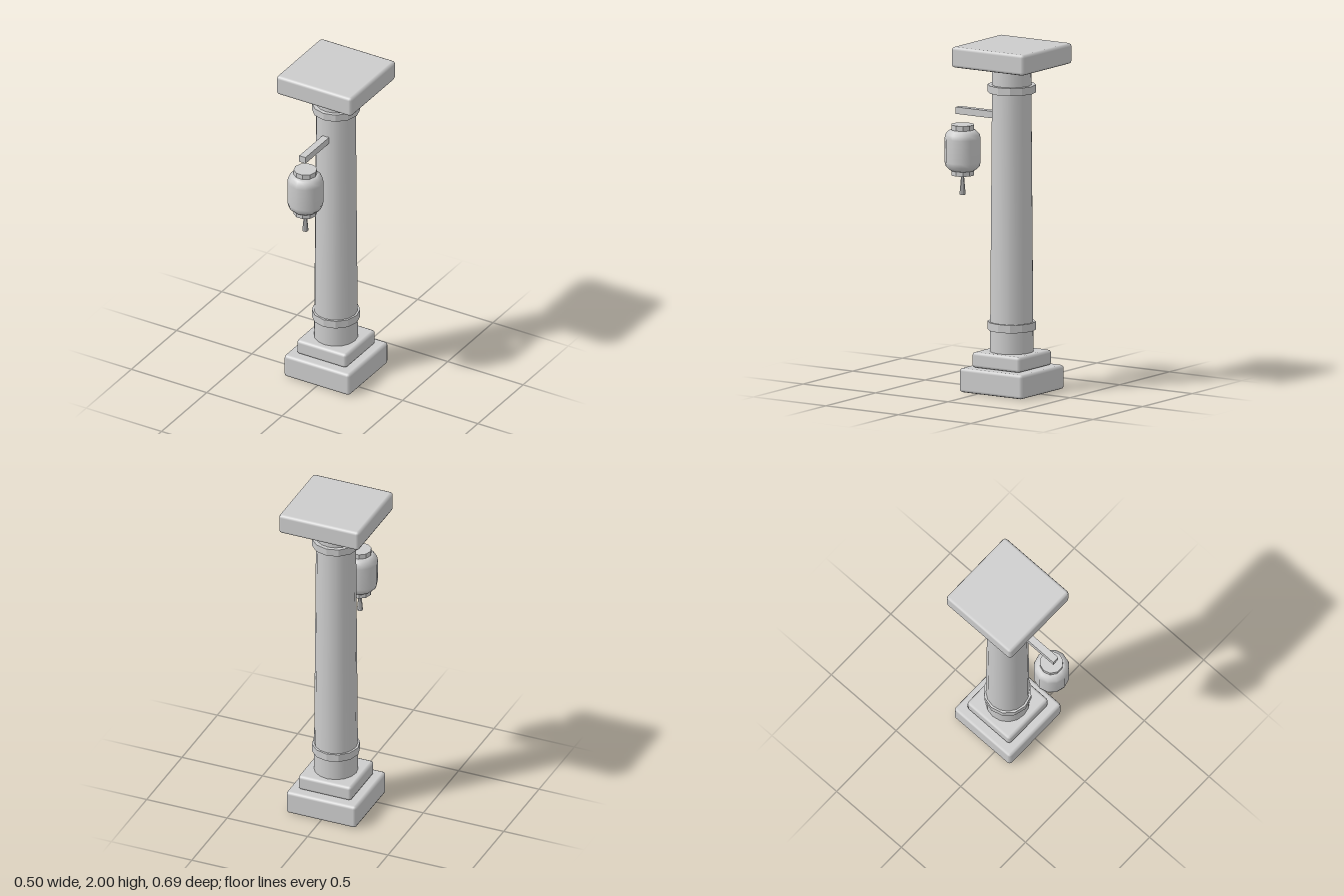
import * as THREE from 'three';
import { RoundedBoxGeometry } from 'three/addons/geometries/RoundedBoxGeometry.js';

export function createModel() {
  const model = new THREE.Group();
  const stone = new THREE.MeshStandardMaterial({ color: 0xcccccc });
  stone.name = 'stone grey';
  // same colour, faceted shading for the low-sided parts
  const faceted = stone;
  const columnZ = -0.097, lanternZ = 0.242;

  const add = (name, geometry, x, y, z) => {
    const mesh = new THREE.Mesh(geometry, stone);
    mesh.name = name;
    mesh.position.set(x, y, z);
    model.add(mesh);
    return mesh;
  };

  // square slab with softened edges, between two heights
  const slab = (name, width, y0, y1) =>
    add(name, new RoundedBoxGeometry(width, y1 - y0, width, 1, 0.018), 0, (y0 + y1) / 2, columnZ);

  // faceted drum with a corner on the x axis
  const drum = (name, rTop, rBottom, y0, y1, z, sides) => {
    const g = new THREE.CylinderGeometry(rTop, rBottom, y1 - y0, sides)
      .rotateY(Math.PI / 2).toNonIndexed();
    g.computeVertexNormals();
    return add(name, g, 0, (y0 + y1) / 2, z);
  };

  // plinth and capital
  slab('plinth', 0.436, 0, 0.14);
  slab('plinthStep', 0.332, 0.14, 0.23);
  slab('capital', 0.5, 1.88, 2);

  // tapering shaft with two collars
  add('shaft', new THREE.CylinderGeometry(0.113, 0.126, 1.67, 16), 0, 1.055, columnZ);
  drum('lowerCollar', 0.138, 0.138, 0.355, 0.402, columnZ, 12);
  drum('upperCollar', 0.138, 0.138, 1.728, 1.772, columnZ, 12);

  // bracket arm
  add('bracketArm', new THREE.BoxGeometry(0.042, 0.04, 0.305), 0, 1.586, 0.1225);

  // lantern body with bevelled shoulders
  const profile = [
    [0, 1.24], [0.07, 1.24], [0.083, 1.25], [0.098, 1.266], [0.103, 1.29],
    [0.103, 1.425], [0.098, 1.45], [0.083, 1.467], [0.07, 1.476], [0, 1.476],
  ].map(([r, y]) => new THREE.Vector2(r, y));
  add('lanternBody', new THREE.LatheGeometry(profile, 12), 0, 0, lanternZ);

  // lantern caps and tassel
  drum('lanternTopCap', 0.067, 0.067, 1.474, 1.505, lanternZ, 10);
  drum('lanternBottomCap', 0.067, 0.067, 1.213, 1.242, lanternZ, 10);
  drum('tassel', 0.008, 0.018, 1.1, 1.214, lanternZ, 8);

  return model;
}
